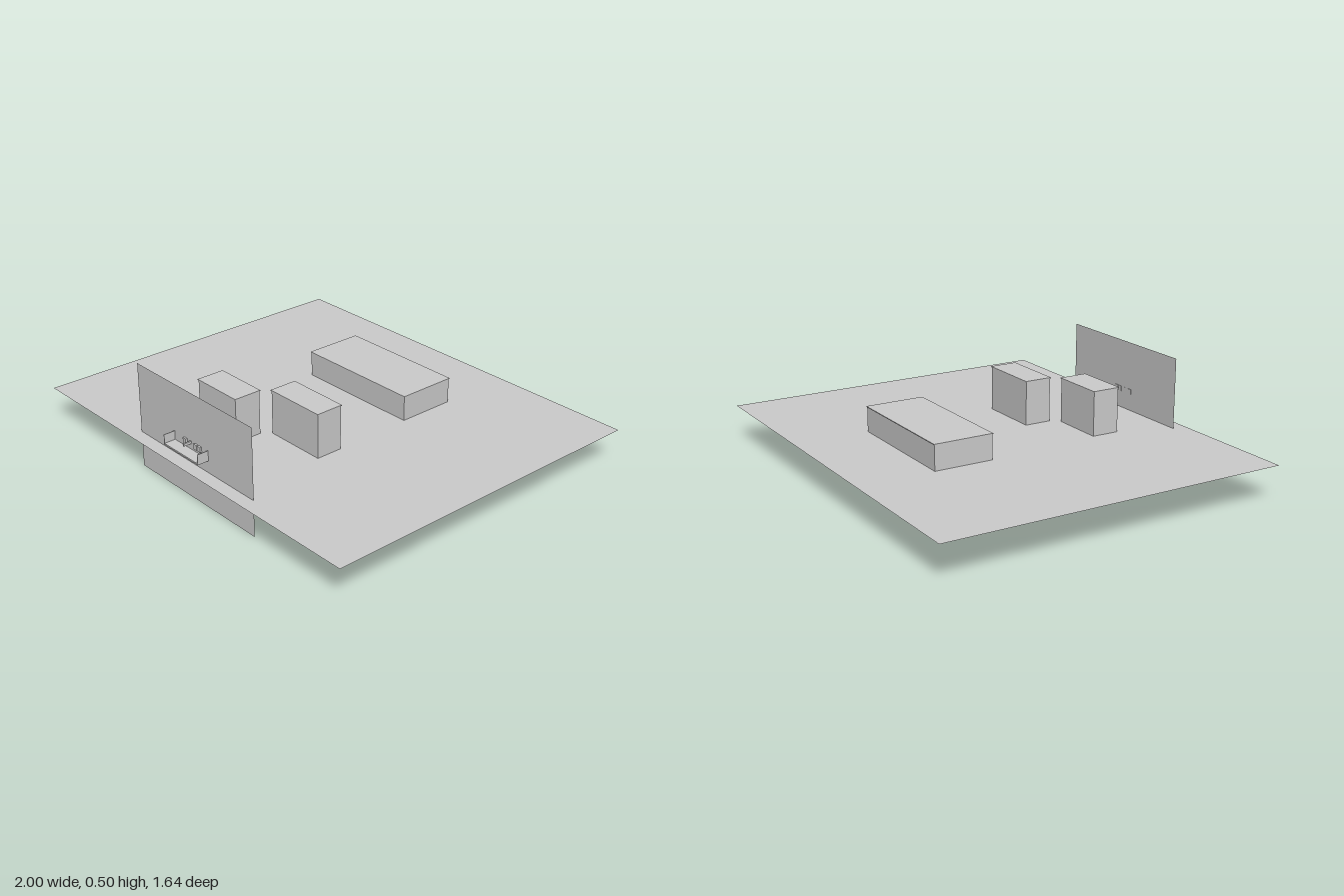
import * as THREE from 'three';

const GROUND = 0.17;

export function createModel() {
  const model = new THREE.Group();
  const grey = new THREE.MeshStandardMaterial({ color: 0xcccccc, flatShading: true });
  const sheet = new THREE.MeshStandardMaterial({ color: 0xcccccc, flatShading: true, side: THREE.DoubleSide });

  const add = (name, geometry, material, x, y, z, parent = model) => {
    const mesh = new THREE.Mesh(geometry, material);
    mesh.name = name;
    mesh.position.set(x, y, z);
    parent.add(mesh);
    return mesh;
  };
  // box given by its limits along each axis
  const block = (name, [x0, x1], [y0, y1], [z0, z1], parent) =>
    add(name, new THREE.BoxGeometry(x1 - x0, y1 - y0, z1 - z0), grey,
      (x0 + x1) / 2, (y0 + y1) / 2, (z0 + z1) / 2, parent);

  // thin ground sheet
  add('ground', new THREE.PlaneGeometry(2, 1.64), sheet, 0, GROUND, 0).rotation.x = -Math.PI / 2;

  // upright panel crossing the ground near its front edge
  add('frontPanel', new THREE.PlaneGeometry(0.785, 0.5), sheet, 0.02, 0.25, 0.755);

  // three blocks, each with a thin, slightly overhanging lid
  const buildings = [
    ['rearBlock', [-0.316, 0.316], 0.29, [-0.46, -0.174]],
    ['leftBlock', [0.016, 0.324], 0.38, [0.204, 0.339]],
    ['rightBlock', [-0.278, -0.012], 0.38, [0.374, 0.511]],
  ];
  for (const [name, x, top, z] of buildings) {
    const group = new THREE.Group();
    group.name = name;
    model.add(group);
    const inset = ([a, b]) => [a + 0.003, b - 0.003];
    block('walls', inset(x), [GROUND, top - 0.004], inset(z), group);
    block('lid', x, [top - 0.004, top], z, group);
  }

  // open tray on the face of the panel
  const tray = new THREE.Group();
  tray.name = 'tray';
  model.add(tray);
  block('trayFloor', [-0.117, 0.119], [0.229, 0.236], [0.757, 0.812], tray);
  for (const [name, x] of [['trayRightEnd', -0.117], ['trayLeftEnd', 0.116]]) {
    block(name, [x, x + 0.003], [0.229, 0.277], [0.757, 0.812], tray);
  }

  // small fittings set through the panel above the tray
  for (const x of [-0.038, 0.037, 0.062]) {
    block('fitting', [x - 0.01, x + 0.01], [0.25, 0.274], [0.752, 0.764], tray);
  }
  block('stud', [-0.005, 0.003], [0.262, 0.274], [0.753, 0.795], tray);

  return model;
}
